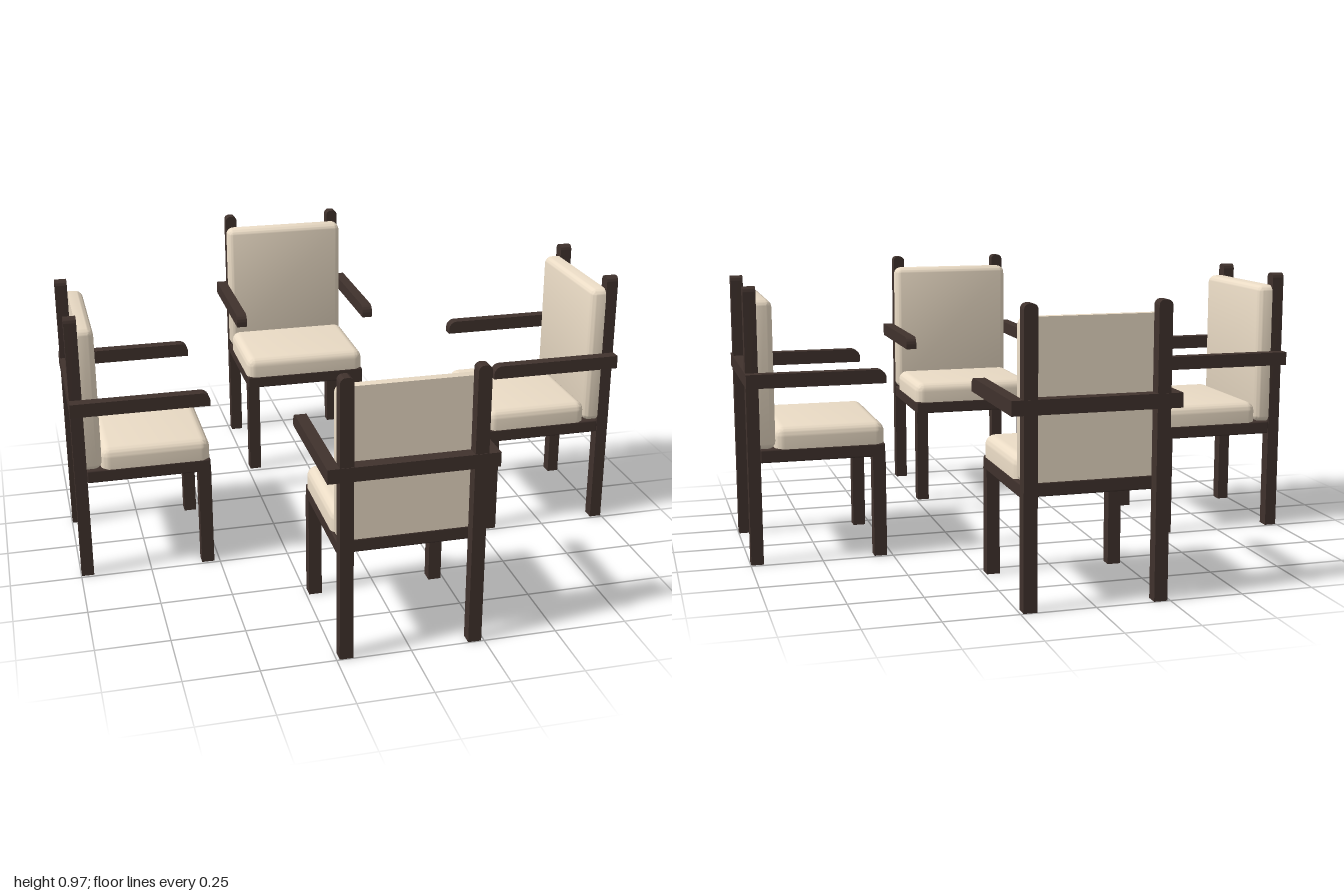
import * as THREE from 'three';
import { toCreasedNormals } from 'three/addons/utils/BufferGeometryUtils.js';
import { RoundedBoxGeometry } from 'three/addons/geometries/RoundedBoxGeometry.js';

const wood = new THREE.MeshStandardMaterial({ color: 0x40322d });
const fabric = new THREE.MeshStandardMaterial({ color: 0xeadbc5 });

function part(name, geometry, material, x, y, z) {
  const mesh = new THREE.Mesh(geometry, material);
  mesh.name = name;
  mesh.position.set(x, y, z);
  return mesh;
}

// Bar with a rectangular outline (base at y = 0) whose top corners are rounded
function roundedTopBar(x0, x1, h, r0, r1, depth) {
  const s = new THREE.Shape();
  s.moveTo(x0, 0);
  s.lineTo(x1, 0);
  s.lineTo(x1, h - r1);
  if (r1) s.absarc(x1 - r1, h - r1, r1, 0, Math.PI / 2, false);
  else s.lineTo(x1, h);
  s.lineTo(x0 + r0, h);
  if (r0) s.absarc(x0 + r0, h - r0, r0, Math.PI / 2, Math.PI, false);
  const g = new THREE.ExtrudeGeometry(s, { depth, bevelEnabled: false, curveSegments: 6 });
  g.translate(0, 0, -depth / 2);
  return toCreasedNormals(g, 0.6);
}

// Padded block, rounded except where it is cut flat at the low end of one axis
function cushion(w, h, d, r, axis) {
  const size = { x: w, y: h, z: d };
  const low = -size[axis] / 2;
  size[axis] += r;
  const g = new RoundedBoxGeometry(size.x, size.y, size.z, 4, r);
  const shift = { x: 0, y: 0, z: 0 };
  shift[axis] = -r / 2;
  g.translate(shift.x, shift.y, shift.z);
  const p = g.attributes.position;
  const i = 'xyz'.indexOf(axis);
  for (let k = 0; k < p.count; k++) p.setComponent(k, i, Math.max(low, p.getComponent(k, i)));
  return toCreasedNormals(g, 0.7);
}

// One chair facing +z, with its back at z = -1
function createChair() {
  const chair = new THREE.Group();

  for (const [side, s] of [['left', 1], ['right', -1]]) {
    chair.add(
      part(side + 'BackPost', roundedTopBar(-0.0225, 0.0225, 0.967, 0.018, 0.018, 0.043), wood, s * 0.2175, 0, -0.9765),
      part(side + 'FrontLeg', new THREE.BoxGeometry(0.045, 0.365, 0.045), wood, s * 0.2175, 0.1825, -0.5425)
    );
    const arm = roundedTopBar(-1, -0.52, 0.048, 0, 0.03, 0.04);
    arm.rotateY(-Math.PI / 2);
    chair.add(part(side + 'Armrest', arm, wood, s * 0.26, 0.626, 0));
  }

  // Rail joining the two armrests across the back
  chair.add(part('backRail', new THREE.BoxGeometry(0.48, 0.048, 0.045), wood, 0, 0.65, -0.9775));

  // Seat slab and upholstery
  chair.add(
    part('seatFrame', new RoundedBoxGeometry(0.48, 0.047, 0.436, 2, 0.006), wood, 0, 0.3825, -0.738),
    part('seatCushion', cushion(0.48, 0.077, 0.384, 0.034, 'y'), fabric, 0, 0.4425, -0.712),
    part('backCushion', cushion(0.48, 0.518, 0.055, 0.028, 'z'), fabric, 0, 0.663, -0.9275)
  );
  return chair;
}

export function createModel() {
  const model = new THREE.Group();
  model.name = 'chairSet';
  // Four chairs facing the centre
  ['back', 'right', 'front', 'left'].forEach((name, i) => {
    const chair = createChair();
    chair.name = name + 'Chair';
    chair.rotation.y = i * Math.PI / 2;
    model.add(chair);
  });
  return model;
}
